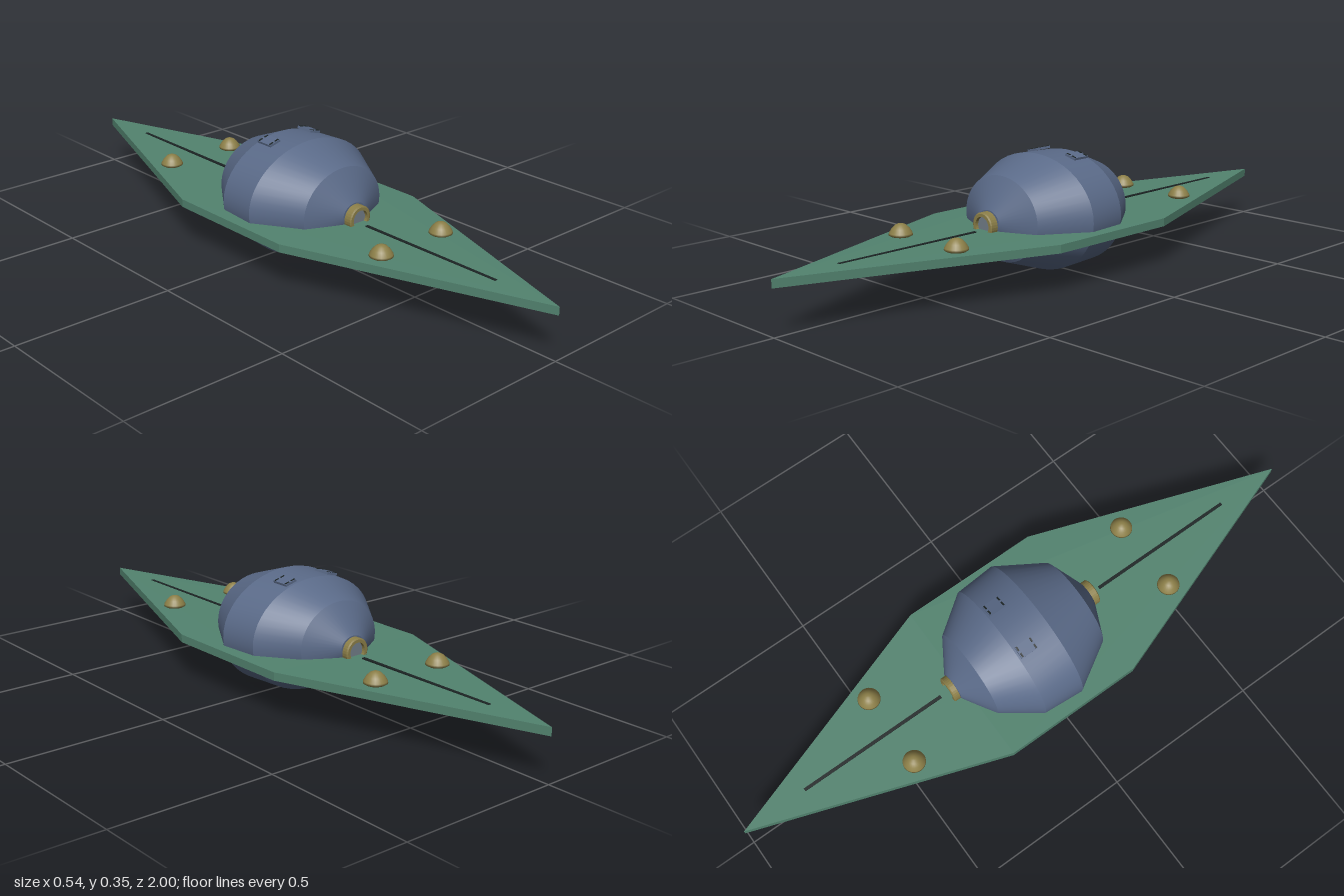
import * as THREE from 'three';

const material = (name, color) => {
  const m = new THREE.MeshStandardMaterial({ color });
  m.name = name;
  return m;
};

export function createModel() {
  const model = new THREE.Group();
  const blue = material('slate blue', 0x5a6a88);
  const green = material('sea green', 0x52836f);
  const gold = material('old gold', 0x8c7f48);
  const dark = material('near black', 0x1c2424);
  const grey = material('steel grey', 0x727d87);

  const add = (name, geometry, mat, x = 0, y = 0, z = 0, parent = model) => {
    const mesh = new THREE.Mesh(geometry, mat);
    mesh.name = name;
    mesh.position.set(x, y, z);
    parent.add(mesh);
    return mesh;
  };

  // Faceted pod: elliptical sections [z, half width, half height],
  // each band smooth around but creased against its neighbours
  const sections = [
    [-0.255, 0, 0], [-0.255, 0.045, 0.035], [-0.192, 0.145, 0.125], [-0.075, 0.23, 0.173],
    [0.055, 0.24, 0.1775], [0.198, 0.153, 0.13], [0.25, 0.045, 0.035], [0.25, 0, 0],
  ];
  const sides = 48;
  const positions = [], index = [];
  for (let s = 0; s < sections.length - 1; s++) {
    const base = positions.length / 3;
    for (const [z, rx, ry] of [sections[s], sections[s + 1]]) {
      for (let i = 0; i < sides; i++) {
        const t = (i / sides) * Math.PI * 2;
        positions.push(rx * Math.cos(t), 0.1775 + ry * Math.sin(t), z);
      }
    }
    for (let i = 0; i < sides; i++) {
      const a = base + i, b = base + (i + 1) % sides;
      index.push(a, b, a + sides, b, b + sides, a + sides);
    }
  }
  const pod = new THREE.BufferGeometry();
  pod.setAttribute('position', new THREE.Float32BufferAttribute(positions, 3));
  pod.setIndex(index);
  pod.computeVertexNormals();
  add('pod', pod, blue);

  // Long six-cornered deck, tips raised a little
  const outline = new THREE.Shape([
    [0, -1], [0.272, -0.225], [0.272, 0.225], [0, 1], [-0.272, 0.225], [-0.272, -0.225],
  ].map(([x, z]) => new THREE.Vector2(x, z)));
  const deck = new THREE.ExtrudeGeometry(outline, { depth: 0.025, bevelEnabled: false });
  deck.rotateX(-Math.PI / 2);
  const p = deck.attributes.position;
  for (let i = 0; i < p.count; i++) {
    p.setY(i, p.getY(i) + 0.128 + (Math.abs(p.getZ(i)) > 0.5 ? 0.004 : 0));
  }
  deck.computeVertexNormals();
  add('deck', deck, green);

  // Domed knob with a flared brim
  const knob = new THREE.LatheGeometry([
    [0.025, 0], [0.035, 0.006], [0.034, 0.012], [0.026, 0.025], [0.016, 0.035], [0.007, 0.039], [0, 0.039],
  ].map(([r, y]) => new THREE.Vector2(r, y)), 24);
  // Collar around each port
  const collar = new THREE.LatheGeometry([
    [0.028, -0.02], [0.041, -0.02], [0.041, 0.012], [0.037, 0.015], [0.028, 0.015], [0.028, -0.02],
  ].map(([r, y]) => new THREE.Vector2(r, y)), 32).toNonIndexed();
  collar.computeVertexNormals();
  collar.rotateX(Math.PI / 2);
  const lens = new THREE.CylinderGeometry(0.029, 0.029, 0.02, 32).rotateX(Math.PI / 2);

  for (const end of [1, -1]) {
    add('deckGroove', new THREE.BoxGeometry(0.01, 0.004, 0.49), dark, 0, 0.1555, end * 0.545);
    const port = new THREE.Group();
    port.name = 'port';
    port.position.set(0, 0.168, end * 0.26);
    if (end < 0) port.rotation.y = Math.PI;
    add('portCollar', collar, gold, 0, 0, 0, port);
    add('portLens', lens, grey, 0, 0, -0.006, port);
    model.add(port);
    for (const side of [1, -1]) {
      add('knob', knob, gold, side * 0.12, 0.153, end * 0.48);
      add('knobSeat', new THREE.CylinderGeometry(0.027, 0.027, 0.006, 24), green, side * 0.12, 0.155, end * 0.48);
    }
  }

  // Small roof hatches with dark slots
  for (const side of [1, -1]) {
    const hatch = new THREE.Group();
    hatch.name = 'roofHatch';
    hatch.position.set(side * 0.08, 0.3455, -0.04);
    hatch.rotation.z = -side * 0.26;
    add('hatchPanel', new THREE.BoxGeometry(0.04, 0.007, 0.058), blue, 0, 0, 0, hatch);
    for (const z of [-0.024, 0.024]) {
      for (const x of [-0.011, 0.011]) {
        add('hatchSlot', new THREE.BoxGeometry(0.014, 0.002, 0.005), dark, x, 0.004, z, hatch);
      }
    }
    model.add(hatch);
  }

  return model;
}
